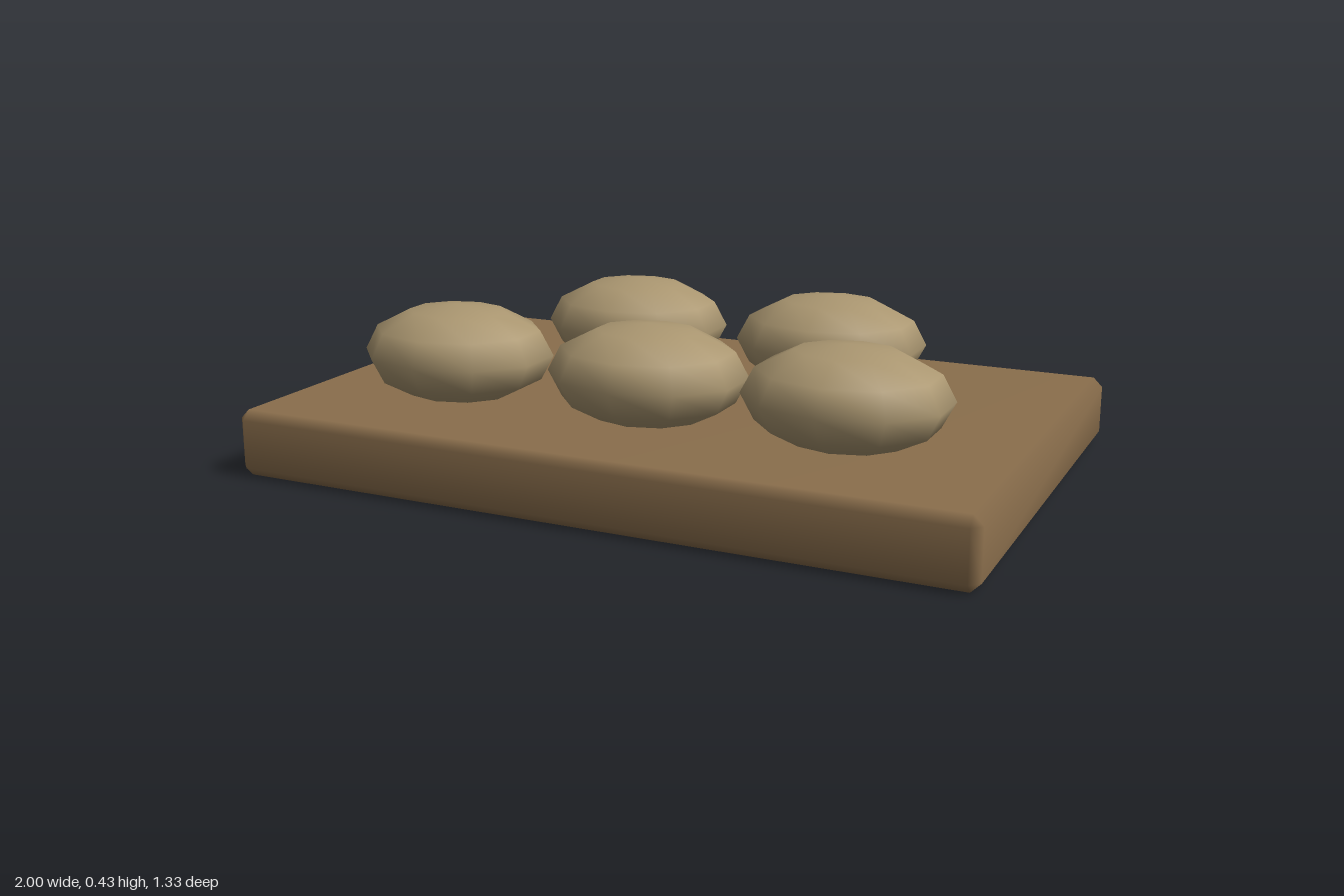
import * as THREE from 'three';
import { mergeVertices } from 'three/addons/utils/BufferGeometryUtils.js';
import { ConvexGeometry } from 'three/addons/geometries/ConvexGeometry.js';

// Box with single-step chamfered edges and softly shaded normals
function chamferedBox(w, h, d, c) {
  const points = [];
  for (const sx of [-1, 1]) for (const sy of [-1, 1]) for (const sz of [-1, 1]) {
    for (let axis = 0; axis < 3; axis++) {
      const inset = [c, c, c];
      inset[axis] = 0;
      points.push(new THREE.Vector3(
        sx * (w / 2 - inset[0]), sy * (h / 2 - inset[1]), sz * (d / 2 - inset[2])));
    }
  }
  const hull = new ConvexGeometry(points);
  hull.deleteAttribute('normal');
  const geometry = mergeVertices(hull);
  geometry.computeVertexNormals();
  return geometry;
}

export function createModel() {
  const wood = new THREE.MeshStandardMaterial({ name: 'brown wood', color: 0x8a6e4c });
  const crust = new THREE.MeshStandardMaterial({ name: 'tan crust', color: 0xab9771 });
  const model = new THREE.Group();
  model.name = 'bunBoard';

  // Serving board
  const board = new THREE.Mesh(chamferedBox(2, 0.18, 1.33, 0.025), wood);
  board.name = 'board';
  board.position.y = 0.09;
  model.add(board);

  // Flattened buns, partly sunk into the board: three in front, two behind
  const bunGeometry = new THREE.SphereGeometry(1, 10, 6);
  bunGeometry.rotateY(Math.PI / 2);
  bunGeometry.scale(0.27, 0.135, 0.225);
  const spots = [[-0.575, 0.24], [0, 0.24], [0.545, 0.24], [-0.303, -0.305], [0.303, -0.305]];
  spots.forEach(([x, z], i) => {
    const bun = new THREE.Mesh(bunGeometry, crust);
    bun.name = `bun${i + 1}`;
    bun.position.set(x, 0.29, z);
    model.add(bun);
  });
  return model;
}
